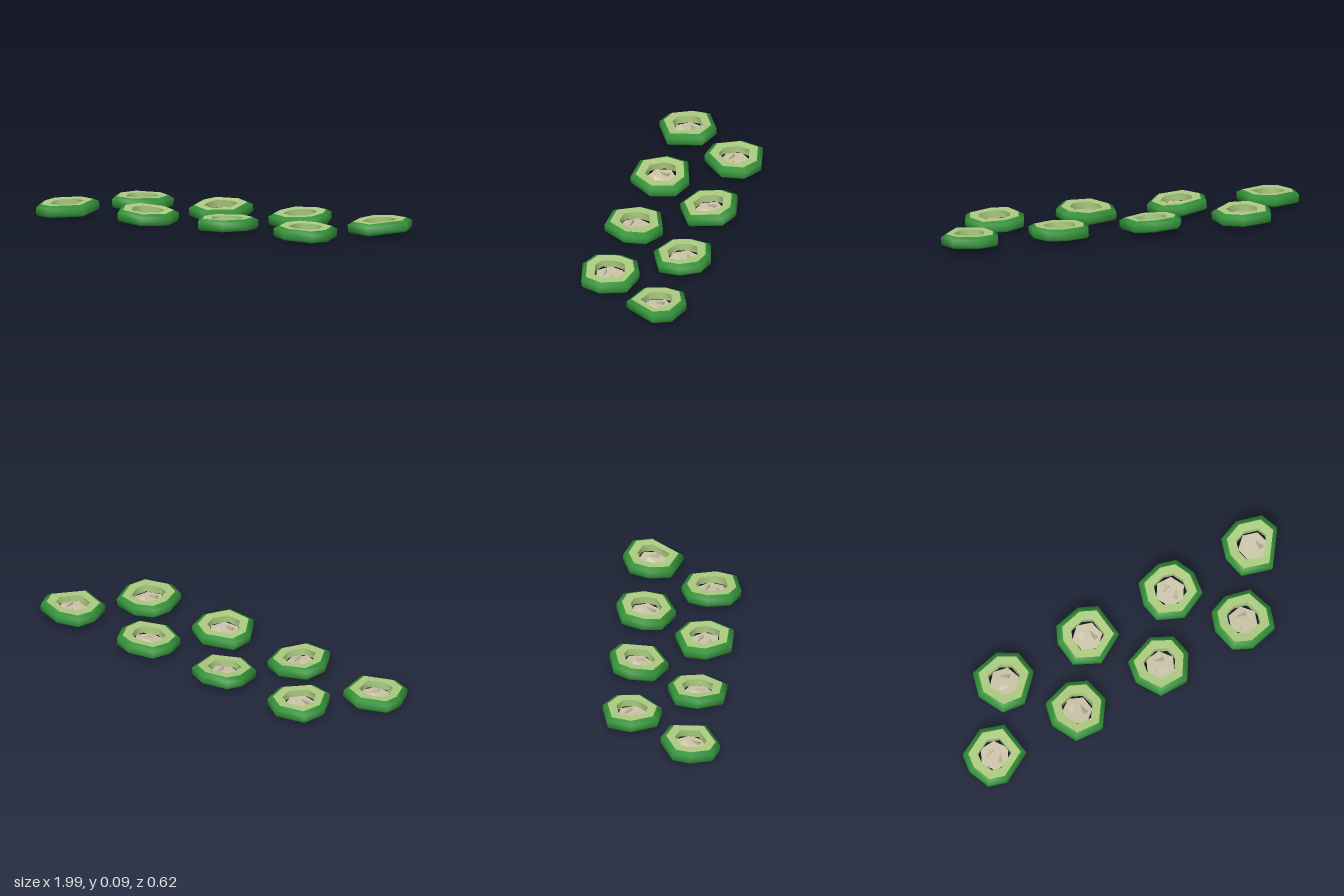
import * as THREE from 'three';

const material = (name, color, extra = {}) =>
  new THREE.MeshStandardMaterial({ name, color, side: THREE.DoubleSide, ...extra });

// Per slice: height, tilts, seed direction and corner angles (degrees, clockwise from the back)
const FRONT_ROW = [
  { y: 0.042, tiltX: 0.07, tiltZ: 0.03, seed: 0.8, corners: [0, 47, 115, 186, 221, 266, 300] },
  { y: 0.045, tiltX: 0.02, tiltZ: -0.09, seed: 1.4, corners: [8, 48, 98, 157, 212, 266, 310] },
  { y: 0.045, tiltX: -0.02, tiltZ: 0.02, seed: -0.2, corners: [10, 55, 98, 153, 209, 264, 305] },
  { y: 0.042, tiltX: 0.01, tiltZ: -0.06, seed: -0.1, corners: [-8, 42, 95, 135, 192, 229, 276, 313] },
];
const BACK_ROW = [
  { y: 0.055, tiltX: 0, tiltZ: -0.01, seed: -0.5, corners: [14, 56, 102, 169, 213, 268, 314] },
  { y: 0.052, tiltX: 0.12, tiltZ: -0.03, seed: 1.5, corners: [11, 49, 116, 182, 236, 285, 317] },
  { y: 0.052, tiltX: 0.08, tiltZ: 0.01, seed: 0.7, corners: [5, 40, 81, 123, 182, 235, 272, 314] },
  { y: 0.055, tiltX: 0.06, tiltZ: 0.03, seed: 1.5, corners: [-5, 46, 83, 170, 231, 274, 312] },
];

// Joins scaled copies of a slice outline; each ring is [scale, y]
function loft(corners, rings) {
  const n = corners.length, positions = [], index = [];
  for (const [scale, y] of rings)
    for (const degrees of corners) {
      const a = THREE.MathUtils.degToRad(degrees);
      const r = scale * (0.158 - 0.006 * Math.cos(4 * a));
      positions.push(r * Math.sin(a), y, -r * Math.cos(a));
    }
  for (let j = 0; j < rings.length - 1; j++)
    for (let i = 0; i < n; i++) {
      const a = j * n + i, b = j * n + (i + 1) % n;
      index.push(a, b, a + n, b, b + n, a + n);
    }
  const geometry = new THREE.BufferGeometry();
  geometry.setAttribute('position', new THREE.Float32BufferAttribute(positions, 3));
  geometry.setIndex(index);
  geometry.computeVertexNormals();
  return geometry;
}

export function createModel() {
  const skin = material('skin green', 0x339139);
  const flesh = material('pale green flesh', 0xaccb80);
  const core = material('beige core', 0xcbc4a8, { flatShading: true });
  const model = new THREE.Group();
  model.name = 'cucumberSlices';

  const add = (group, name, geometry, mat) => {
    const mesh = new THREE.Mesh(geometry, mat);
    mesh.name = name;
    group.add(mesh);
    return mesh;
  };

  const addSlice = ({ y, tiltX, tiltZ, seed, corners }, x, z) => {
    const slice = new THREE.Group();
    slice.name = 'slice';
    slice.position.set(x, y, z);
    slice.rotation.set(tiltX, 0, tiltZ);
    model.add(slice);

    // Open-bottomed skin with a bevelled upper edge
    add(slice, 'skin', loft(corners, [[0.83, 0.029], [1, 0.015], [1, -0.018], [0.94, -0.029]]), skin);
    // Flat flesh ring and the wall of its central hole
    add(slice, 'fleshRing', loft(corners, [[0.53, 0.027], [0.83, 0.029]]), flesh);
    add(slice, 'holeWall', loft(corners, [[0.53, -0.012], [0.53, 0.027]]), flesh);

    // Sunken six-sided core, slightly loose in the hole
    const disc = add(slice, 'core', new THREE.CircleGeometry(0.078, 6).rotateX(-Math.PI / 2), core);
    disc.position.y = -0.009;
    disc.rotation.y = seed + 0.3;

    // Pair of three-sided seeds lying on the core
    for (const side of [-1, 1]) {
      const geometry = new THREE.ConeGeometry(0.018, 0.055, 3).rotateZ(-Math.PI / 2);
      const mesh = add(slice, 'seed', geometry, core);
      mesh.position.set(side * 0.028 * Math.sin(seed), -0.004, side * 0.028 * Math.cos(seed));
      mesh.rotation.y = seed + (side > 0 ? 0.2 : Math.PI - 0.2);
    }
  };

  // Two staggered rows
  FRONT_ROW.forEach((slice, i) => addSlice(slice, -0.85 + 0.483 * i, 0.155));
  BACK_ROW.forEach((slice, i) => addSlice(slice, -0.61 + 0.483 * i, -0.16));

  // Rest the lowest slice on the ground
  const { min } = new THREE.Box3().setFromObject(model, true);
  model.children.forEach((slice) => { slice.position.y -= min.y; });
  return model;
}
